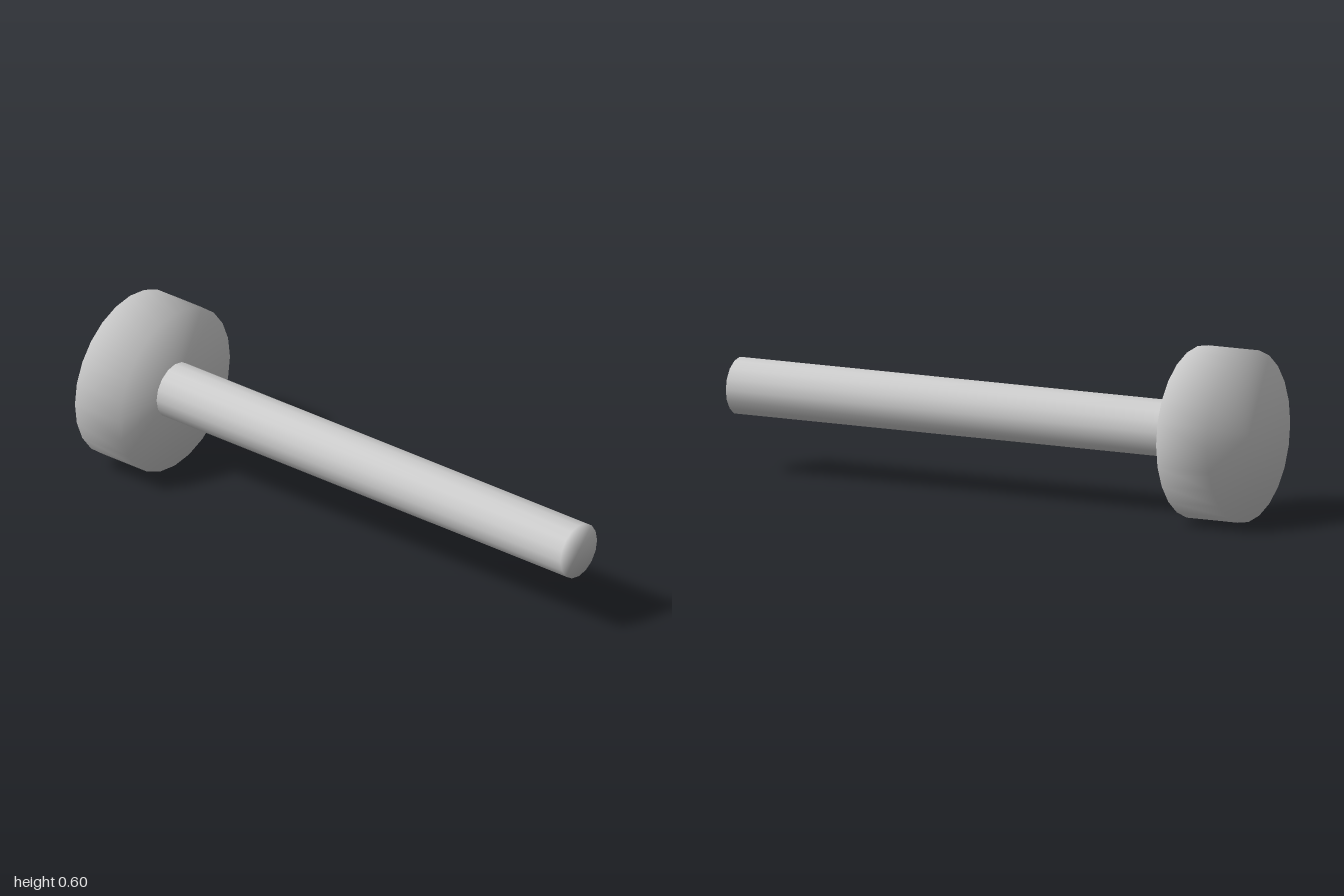
import * as THREE from 'three';
import { mergeVertices } from 'three/addons/utils/BufferGeometryUtils.js';

const material = new THREE.MeshStandardMaterial({ color: 0xcccccc });
const AXIS_Y = 0.3;

// Capped cylinder along z, with normals smoothed across the rims
function smoothRod(name, radius, zBack, zFront, sides) {
  const geometry = new THREE.CylinderGeometry(radius, radius, zFront - zBack, sides);
  geometry.rotateX(Math.PI / 2);
  geometry.deleteAttribute('normal');
  geometry.deleteAttribute('uv');
  const welded = mergeVertices(geometry, 1e-4);
  welded.computeVertexNormals();
  const mesh = new THREE.Mesh(welded, material);
  mesh.name = name;
  mesh.position.set(0, AXIS_Y, (zBack + zFront) / 2);
  return mesh;
}

export function createModel() {
  const group = new THREE.Group();
  group.name = 'pin';
  // Wide round head at the back, slim shaft reaching forward
  group.add(smoothRod('head', 0.3, -1, -0.8, 24));
  group.add(smoothRod('shaft', 0.1, -0.8, 1, 16));
  return group;
}
